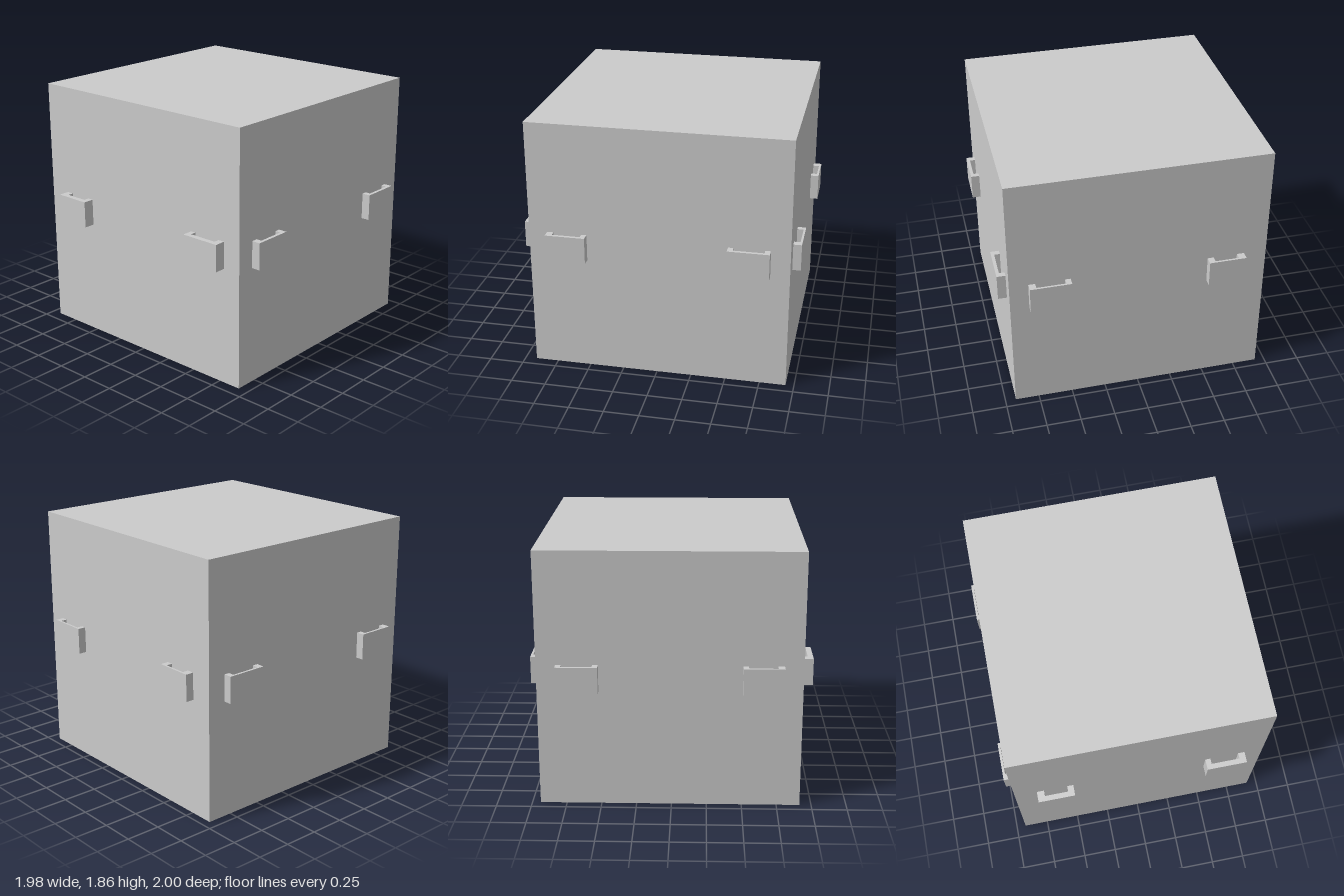
import * as THREE from 'three';

const material = new THREE.MeshStandardMaterial({ color: 0xcccccc, flatShading: true });

// Body faces
const X0 = -0.93, X1 = 0.923, Z0 = -0.94, Z1 = 0.916, HEIGHT = 1.86;
const GRIP_BOTTOM = 0.855, GRIP_TOP = 1.05;

// U-shaped bracket: a and b are its ends along the wall, ia and ib the inner faces of its legs,
// wall / inner / outer the depths of the wall and of the plate; place() maps (along, depth) to (x, z)
function bracket(name, [a, ia, ib, b], [wall, inner, outer], place) {
  const outline = [[a, wall], [a, outer], [b, outer], [b, wall], [ib, wall], [ib, inner], [ia, inner], [ia, wall]];
  const shape = new THREE.Shape(outline.map(([u, d]) => new THREE.Vector2(...place(u, d))));
  const geometry = new THREE.ExtrudeGeometry(shape, { depth: GRIP_TOP - GRIP_BOTTOM, bevelEnabled: false });
  geometry.rotateX(Math.PI / 2);
  const mesh = new THREE.Mesh(geometry, material);
  mesh.position.y = GRIP_TOP;
  mesh.name = name;
  return mesh;
}

export function createModel() {
  const group = new THREE.Group();
  group.name = 'crate';

  // Plain box body
  const body = new THREE.Mesh(new THREE.BoxGeometry(X1 - X0, HEIGHT, Z1 - Z0), material);
  body.position.set((X0 + X1) / 2, HEIGHT / 2, (Z0 + Z1) / 2);
  body.name = 'body';
  group.add(body);

  // Two brackets on each wall
  const alongX = (u, d) => [u, d];
  const alongZ = (u, d) => [d, u];
  const xSpans = { Right: [-0.767, -0.714, -0.542, -0.497], Left: [0.492, 0.53, 0.74, 0.788] };
  const zSpans = { Back: [-0.803, -0.764, -0.547, -0.507], Front: [0.497, 0.535, 0.737, 0.783] };
  for (const [side, span] of Object.entries(xSpans)) {
    group.add(bracket('frontBracket' + side, span, [Z1, 0.957, 0.995], alongX));
    group.add(bracket('backBracket' + side, span, [Z0, -0.985, -1], alongX));
  }
  for (const [side, span] of Object.entries(zSpans)) {
    group.add(bracket('leftBracket' + side, span, [X1, 0.963, 0.986], alongZ));
    group.add(bracket('rightBracket' + side, span, [X0, -0.973, -0.99], alongZ));
  }
  return group;
}
